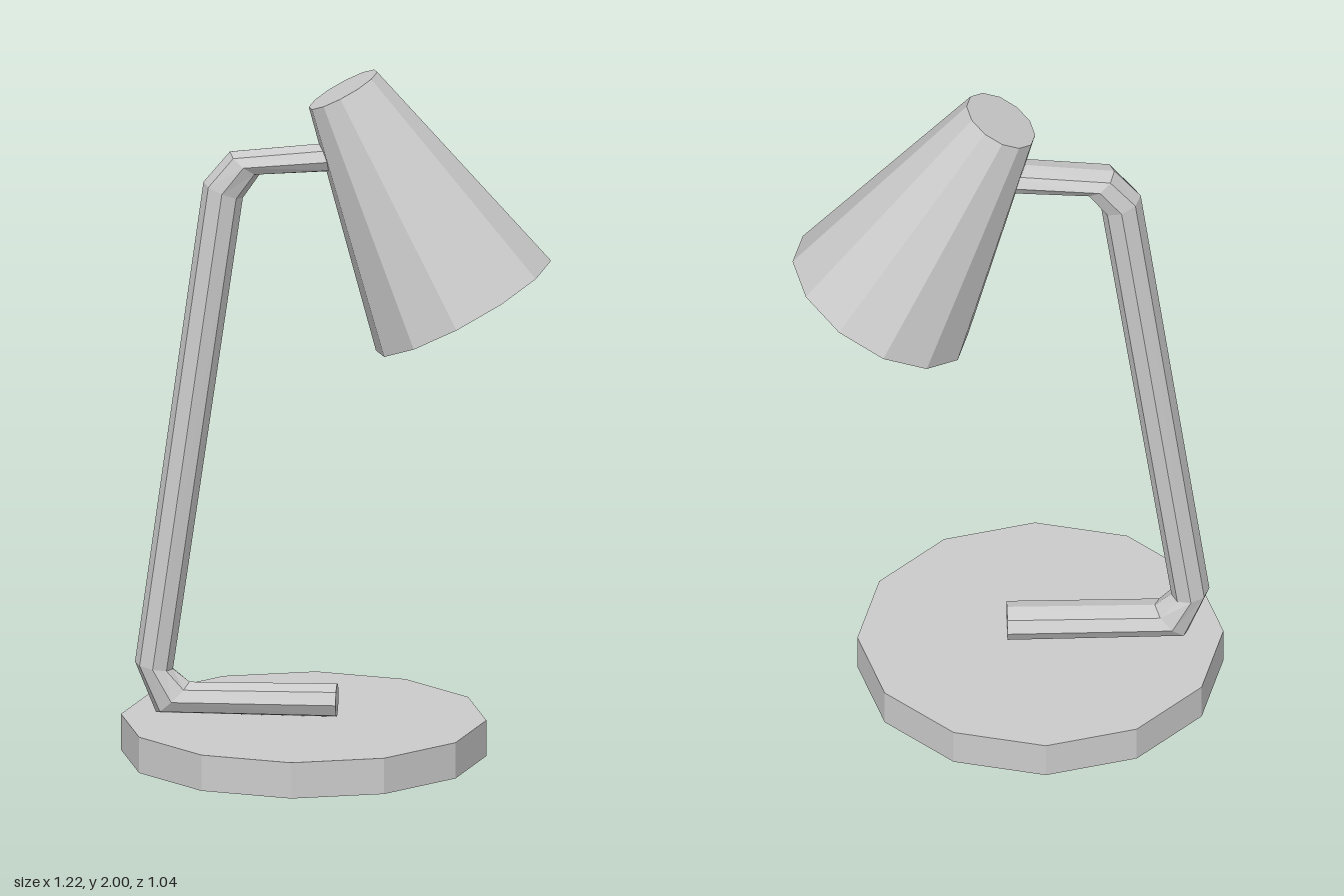
import * as THREE from 'three';

const material = new THREE.MeshStandardMaterial({ color: 0xcccccc, flatShading: true });

function part(name, geometry) {
  const mesh = new THREE.Mesh(geometry, material);
  mesh.name = name;
  return mesh;
}

// Bent tube in the xy plane: each ring is [outerX, outerY, innerX, innerY, halfDepth]
function bentTube(rings, sides) {
  const pos = [], index = [];
  for (const [ox, oy, ix, iy, depth] of rings) {
    const cx = (ox + ix) / 2, cy = (oy + iy) / 2;
    for (let k = 0; k < sides; k++) {
      const a = (k / sides) * Math.PI * 2, c = Math.cos(a);
      pos.push(cx + (ox - cx) * c, cy + (oy - cy) * c, depth * Math.sin(a));
    }
  }
  for (let r = 0; r < rings.length - 1; r++) {
    for (let k = 0; k < sides; k++) {
      const n = (k + 1) % sides, a = r * sides, b = a + sides;
      index.push(a + k, a + n, b + n, a + k, b + n, b + k);
    }
  }
  // End caps
  const last = (rings.length - 1) * sides;
  for (let k = 1; k < sides - 1; k++) {
    index.push(0, k + 1, k, last, last + k, last + k + 1);
  }
  const geometry = new THREE.BufferGeometry();
  geometry.setAttribute('position', new THREE.Float32BufferAttribute(pos, 3));
  geometry.setIndex(index);
  geometry.computeVertexNormals();
  return geometry;
}

function lathe(points, sides) {
  return new THREE.LatheGeometry(points.map(([x, y]) => new THREE.Vector2(x, y)), sides);
}

export function createModel() {
  const lamp = new THREE.Group();
  lamp.name = 'deskLamp';

  // Twelve-sided disc base
  const base = part('base', new THREE.CylinderGeometry(0.52, 0.52, 0.105, 12));
  base.position.set(-0.095, 0.0525, 0);
  lamp.add(base);

  // Foot, upright and upper arm as one bent tube with chamfered corners
  lamp.add(part('arm', bentTube([
    [0, 0.108, 0, 0.205, 0.065],
    [-0.515, 0.112, -0.42, 0.203, 0.065],
    [-0.575, 0.26, -0.467, 0.24, 0.057],
    [-0.38, 1.67, -0.268, 1.625, 0.057],
    [-0.305, 1.76, -0.22, 1.695, 0.062],
    [0.02, 1.795, 0.02, 1.71, 0.062],
  ], 8)));

  // Tilted head: origin at the centre of the rim, local y up the shade axis
  const head = new THREE.Group();
  head.name = 'head';
  head.position.set(0.36, 1.32, 0);
  head.rotation.z = 0.5;
  lamp.add(head);

  // Thick-walled conical shade, closed at the top
  head.add(part('shade', lathe([
    [0, 0.69], [0.09, 0.69], [0.258, 0], [0.284, 0], [0.111, 0.715], [0, 0.715],
  ], 12)));

  // Bulb with its neck
  head.add(part('bulb', lathe([
    [0, 0.11], [0.05, 0.125], [0.085, 0.165], [0.095, 0.21], [0.085, 0.26],
    [0.055, 0.32], [0.045, 0.4], [0.045, 0.69],
  ], 10)));

  return lamp;
}
